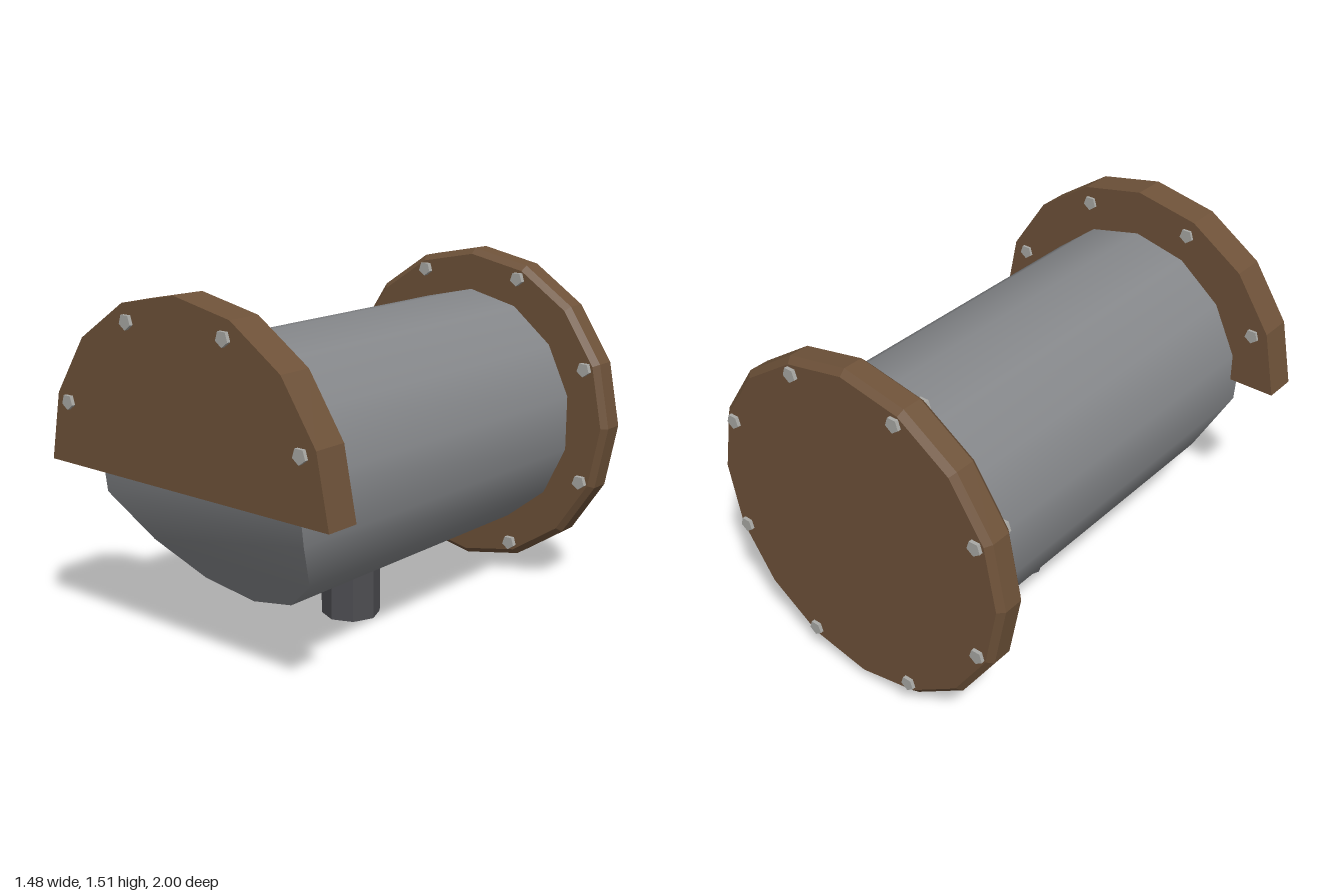
import * as THREE from 'three';

const AXIS_Y = 0.77;
const material = (name, color) => Object.assign(new THREE.MeshStandardMaterial({ color }), { name });

export function createModel() {
  const model = new THREE.Group();
  model.name = 'flangedPipe';
  const steel = material('steel grey', 0x85878a);
  const rust = material('rust brown', 0x6e5239);
  const boltGrey = material('bolt grey', 0xa9a9a5);
  const darkMetal = material('dark metal', 0x4d4d51);
  rust.flatShading = boltGrey.flatShading = darkMetal.flatShading = true;

  const add = (name, geometry, mat, x = 0, y = AXIS_Y, z = 0) => {
    const mesh = new THREE.Mesh(geometry, mat);
    mesh.name = name;
    mesh.position.set(x, y, z);
    model.add(mesh);
    return mesh;
  };

  // Front rim of the barrel: nearly upright above, cut back towards the bottom
  const R = 0.545, SIDES = 14;
  const rimZ = (y) => (y < -0.12 ? 0.885 + (y + 0.12) * 0.67 : Math.min(0.915, 0.885 + (y + 0.12) * 0.125));

  // Barrel: smooth tube along z with its front edge moved to the rim
  const tube = new THREE.CylinderGeometry(R, R, 1, SIDES, 1, true).rotateX(Math.PI / 2);
  const p = tube.attributes.position;
  for (let i = 0; i < p.count; i++) p.setZ(i, p.getZ(i) > 0 ? rimZ(p.getY(i)) : -0.86);
  add('barrel', tube, steel);

  // Barrel front: horizontal strips between mirrored rim points
  const pos = [], index = [];
  for (let i = 0; i <= SIDES / 2; i++) {
    const a = (i / SIDES) * Math.PI * 2;
    const x = R * Math.sin(a), y = -R * Math.cos(a);
    pos.push(-x, y, rimZ(y), x, y, rimZ(y));
    if (i) {
      const k = i * 2;
      index.push(k - 2, k - 1, k + 1, k - 2, k + 1, k);
    }
  }
  const front = new THREE.BufferGeometry();
  front.setAttribute('position', new THREE.Float32BufferAttribute(pos, 3));
  front.setIndex(index);
  front.computeVertexNormals();
  add('barrelFront', front, steel);

  // Rear flange: full disc with bevelled edges
  const profile = [[0, -0.985], [0.705, -0.985], [0.73, -0.96], [0.73, -0.875], [0.705, -0.85], [0, -0.85]]
    .map(([r, z]) => new THREE.Vector2(r, z));
  add('rearFlange', new THREE.LatheGeometry(profile, 16).rotateX(Math.PI / 2), rust);

  // Front flange: plain upper half disc
  const half = new THREE.Shape(Array.from({ length: 9 }, (_, i) => {
    const a = (i / 8) * Math.PI;
    return new THREE.Vector2(0.74 * Math.cos(a), 0.74 * Math.sin(a));
  }));
  add('frontFlange', new THREE.ExtrudeGeometry(half, { depth: 0.145, bevelEnabled: false }), rust, 0, AXIS_Y, 0.84);

  // Five-sided bolts through both flanges, four in front and eight behind
  const bolt = new THREE.CylinderGeometry(0.032, 0.032, 0.172, 5).rotateX(Math.PI / 2);
  for (let i = 0; i < 8; i++) {
    const a = ((i + 0.5) / 8) * Math.PI * 2;
    const x = 0.667 * Math.cos(a), y = AXIS_Y + 0.667 * Math.sin(a);
    add('rearBolt', bolt, boltGrey, x, y, -0.914);
    if (i < 4) add('frontBolt', bolt, boltGrey, x, y, 0.914);
  }

  // Drain stub under the barrel
  add('drainStub', new THREE.CylinderGeometry(0.127, 0.127, 0.3, 8), darkMetal, 0, 0.15, 0);

  return model;
}
